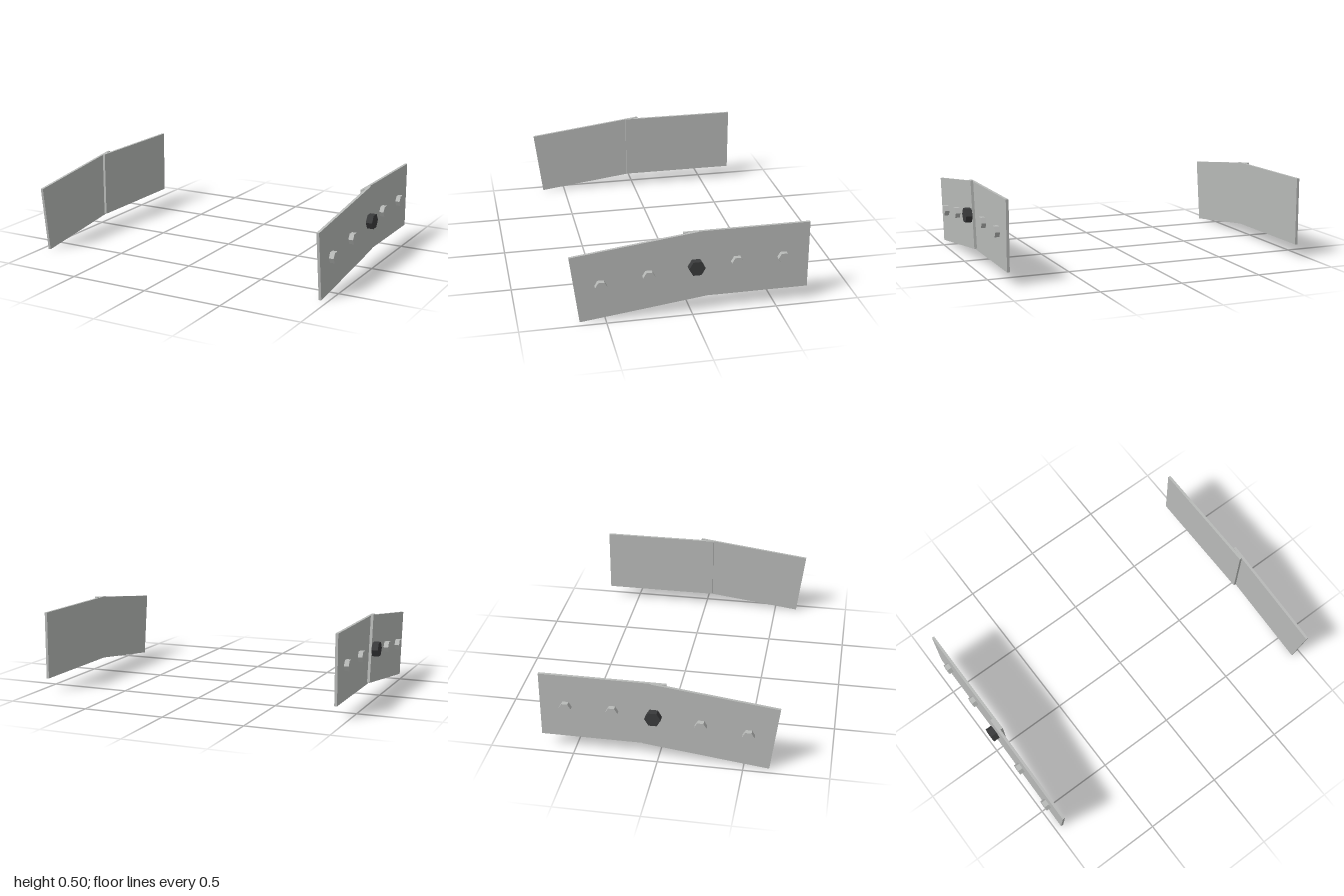
import * as THREE from 'three';

export function createModel() {
  const model = new THREE.Group();
  const steel = new THREE.MeshStandardMaterial({ color: 0xb8bab8 });
  steel.name = 'lightGrey';
  const dark = new THREE.MeshStandardMaterial({ color: 0x3a3b3c });
  dark.name = 'darkGrey';

  const TILT = 0.125; // droop of the front plate
  const T = 0.0165; // plate thickness
  const INNER = 0.927, MIDDLE = INNER + T, OUTER = MIDDLE + T;

  // Hexagonal head standing out from a plate along x
  function bolt(name, material, radius, x0, x1) {
    const geometry = new THREE.CylinderGeometry(radius, radius, x1 - x0, 6).rotateZ(Math.PI / 2).toNonIndexed();
    geometry.computeVertexNormals();
    const mesh = new THREE.Mesh(geometry, material);
    mesh.name = name;
    mesh.position.x = (x0 + x1) / 2;
    return mesh;
  }

  function plate(name, length, height, x0) {
    const mesh = new THREE.Mesh(new THREE.BoxGeometry(T, height, length), steel);
    mesh.name = name;
    mesh.position.x = x0 + T / 2;
    return mesh;
  }

  for (const side of [1, -1]) {
    const hinge = new THREE.Group();
    hinge.name = side > 0 ? 'leftHinge' : 'rightHinge';

    // Level rear plate, on the inside
    const rear = new THREE.Group();
    rear.name = 'rearArm';
    rear.position.set(0, 0.295, -0.327);
    rear.add(plate('rearPlate', 0.746, 0.415, INNER));
    for (const z of [0.057, -0.219]) {
      const b = bolt('rearBolt', steel, 0.036, MIDDLE, 0.972);
      b.position.z = z;
      rear.add(b);
    }

    // Drooping front plate, overlapping on the outside
    const front = new THREE.Group();
    front.name = 'frontArm';
    front.position.set(0, 0.256, 0.305);
    front.rotation.x = TILT;
    front.add(plate('frontPlate', 0.746, 0.415, MIDDLE));
    for (const z of [-0.055, 0.222]) {
      const b = bolt('frontBolt', steel, 0.036, OUTER, 0.99);
      b.position.z = z;
      b.rotation.x = -TILT;
      front.add(b);
    }

    // Pivot bolt where the plates overlap
    const pivot = bolt('pivotBolt', dark, 0.048, OUTER, 1);
    pivot.position.y = 0.296;
    pivot.position.z = -0.024;

    hinge.add(rear, front, pivot);
    // All parts are symmetric, so mirroring only flips their x positions
    hinge.traverse((o) => { o.position.x *= side; });
    model.add(hinge);
  }
  return model;
}
